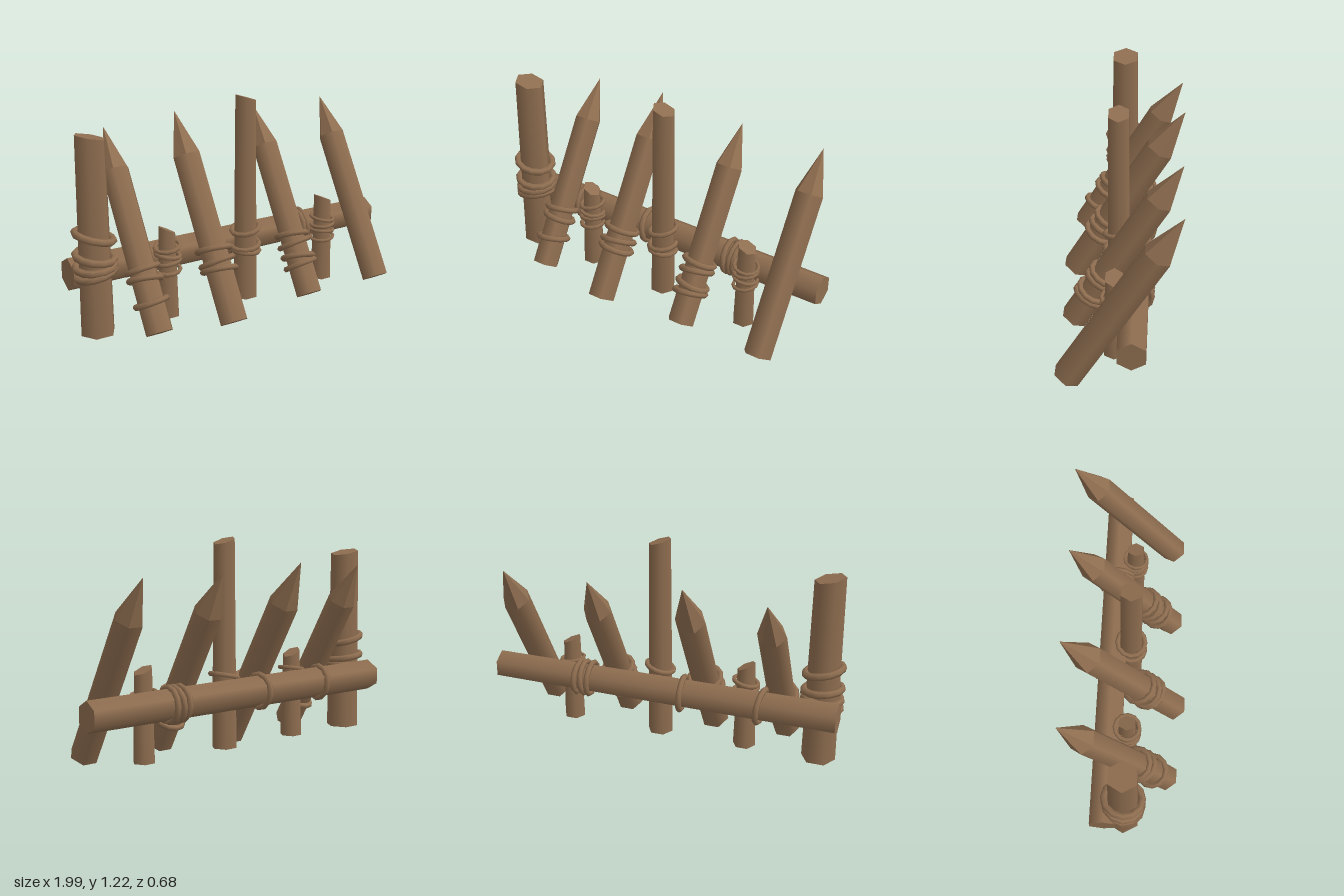
import * as THREE from 'three';

const wood = new THREE.MeshStandardMaterial({ color: 0x8f6e50 });
wood.name = 'wood';

function add(parent, geometry, name) {
  const mesh = new THREE.Mesh(geometry, wood);
  mesh.name = name;
  parent.add(mesh);
  return mesh;
}

// Six-sided log standing on y = 0, with corners pointing to +x and -x
function log(rTop, rBottom, height) {
  return new THREE.CylinderGeometry(rTop, rBottom, height, 6, 1, false, Math.PI / 2)
    .translate(0, height / 2, 0);
}

// Loop of rope around the local y axis, tilted a little
function ropeLoop(parent, y, radius, tube, tiltZ = 0, tiltX = 0) {
  const loop = add(parent, new THREE.TorusGeometry(radius, tube, 6, 12).rotateX(Math.PI / 2), 'ropeLoop');
  loop.position.y = y;
  loop.rotation.set(tiltX, 0, tiltZ);
}

// Upright post with its top cut at a slant
function post({ x, rTop, rBottom, high, low, tube, loops }) {
  const group = new THREE.Group();
  group.name = 'post';
  group.position.set(x, 0.05, 0.013);
  const height = (high + low) / 2 - 0.05;
  const slope = (high - low) / (2 * rTop);
  const geometry = log(rTop, rBottom, height);
  const p = geometry.attributes.position, n = geometry.attributes.normal;
  const cut = new THREE.Vector3(slope, 1, 0).normalize();
  for (let i = 0; i < p.count; i++) {
    if (p.getY(i) < height - 0.001) continue;
    p.setY(i, height - slope * p.getX(i));
    if (n.getY(i) > 0.9) n.setXYZ(i, cut.x, cut.y, cut.z);
  }
  add(group, geometry, 'postLog');
  for (const [y, tiltZ, tiltX] of loops) {
    ropeLoop(group, y - 0.05, rBottom + tube * 0.4, tube, tiltZ, tiltX);
  }
  return group;
}

// Sharpened stake leaning backwards
function stake({ x, y, z, radius, shaft, tip, loops }) {
  const group = new THREE.Group();
  group.name = 'stake';
  group.position.set(x, y, z);
  group.rotation.x = -0.533;
  add(group, log(radius, radius, shaft), 'stakeShaft');
  const point = new THREE.ConeGeometry(radius, tip, 6, 1, true, Math.PI / 2).toNonIndexed();
  point.computeVertexNormals();
  add(group, point.translate(0, shaft + tip / 2, 0), 'stakePoint');
  for (const [t, tiltZ, tiltX] of loops) ropeLoop(group, t, radius + 0.006, 0.017, tiltZ, tiltX);
  return group;
}

export function createModel() {
  const model = new THREE.Group();
  model.name = 'barricade';

  // Cross beam and the lashings around it
  const beam = new THREE.Group();
  beam.name = 'beam';
  beam.position.set(1, 0.364, -0.09);
  beam.rotation.z = Math.PI / 2;
  add(beam, log(0.09, 0.084, 1.98), 'beamLog');
  for (const [x, tiltZ, tiltX] of [[0.435, 0.05, 0.04], [0.47, -0.05, 0.02], [0.505, 0.03, -0.06]]) {
    ropeLoop(beam, 1 - x, 0.092, 0.016, tiltZ, tiltX);
  }
  ropeLoop(beam, 1.11, 0.093, 0.017, 0.06, 0.08);
  ropeLoop(beam, 1.56, 0.093, 0.017, 0.1, -0.1);
  model.add(beam);

  // Upright posts; each loop is [height, tilt, tilt]
  const posts = [
    { x: -0.87, rTop: 0.083, rBottom: 0.095, high: 1.125, low: 1.09, tube: 0.02,
      loops: [[0.585, -0.25, 0.06], [0.475, -0.12, 0.1], [0.425, 0.1, 0.05], [0.385, 0.2, -0.08]] },
    { x: -0.445, rTop: 0.05, rBottom: 0.064, high: 0.565, low: 0.515, tube: 0.012,
      loops: [[0.445, 0.2, 0.1], [0.4, -0.15, 0.05], [0.36, 0.15, -0.1], [0.315, 0.1, 0.1]] },
    { x: 0.055, rTop: 0.062, rBottom: 0.073, high: 1.22, low: 1.18, tube: 0.014,
      loops: [[0.455, 0.25, 0.08], [0.36, 0.15, 0.1], [0.33, -0.08, 0.05]] },
    { x: 0.595, rTop: 0.052, rBottom: 0.063, high: 0.565, low: 0.52, tube: 0.01,
      loops: [[0.42, -0.15, 0.08], [0.385, 0.1, 0.05], [0.345, -0.1, -0.08], [0.305, 0.15, 0.1]] },
  ];
  for (const p of posts) model.add(post(p));

  // Leaning stakes; each loop is [distance along the shaft, tilt, tilt]
  const small = { y: 0.075, z: 0.248, radius: 0.079, shaft: 0.894, tip: 0.245 };
  const stakes = [
    { ...small, x: -0.63, loops: [[0.345, 0.08, 0.05], [0.29, -0.1, 0.05], [0.165, 0.12, 0.1]] },
    { ...small, x: 0.335, loops: [[0.35, -0.1, 0.05], [0.3, 0.12, 0], [0.22, -0.14, 0.06], [0.175, 0.1, 0]] },
    { ...small, x: 0.82, loops: [] },
    { x: -0.19, y: 0.04, z: 0.279, radius: 0.085, shaft: 0.95, tip: 0.269,
      loops: [[0.41, -0.06, 0.06], [0.34, 0.1, 0], [0.295, -0.08, 0.06]] },
  ];
  for (const s of stakes) model.add(stake(s));

  return model;
}
